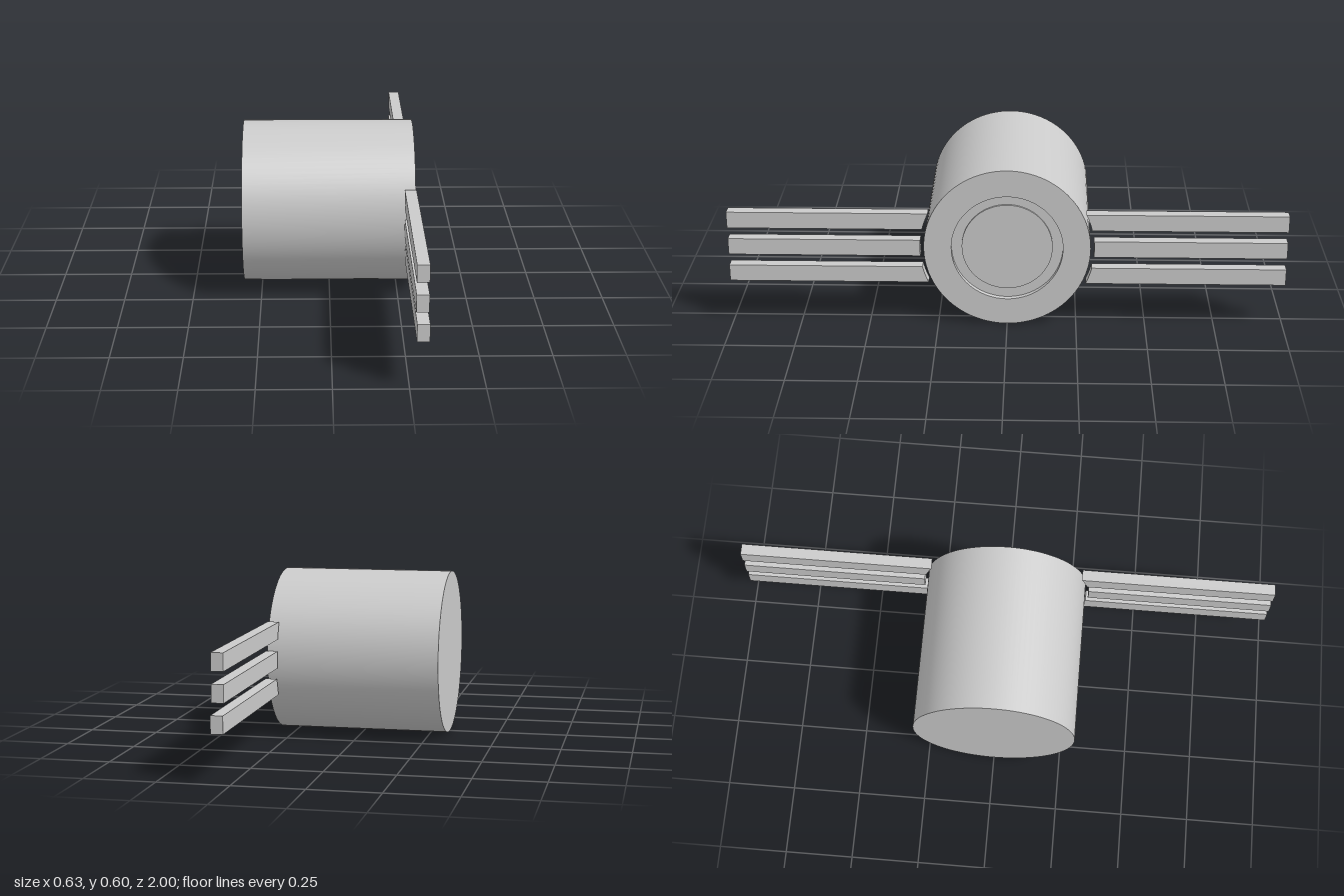
import * as THREE from 'three';
import { toCreasedNormals } from 'three/addons/utils/BufferGeometryUtils.js';

const CENTER_Y = 0.299;
const BODY_R = 0.299;
const GAP_R = 0.312; // bars are trimmed to this radius around the body axis

export function createModel() {
  const group = new THREE.Group();
  const grey = new THREE.MeshStandardMaterial({ color: 0xcccccc });

  function add(geometry, name) {
    const mesh = new THREE.Mesh(geometry, grey);
    mesh.name = name;
    group.add(mesh);
  }

  // Drum body along x, with a stepped recess in its +x face
  const profile = [
    [0, -0.315], [BODY_R, -0.315], [BODY_R, 0.307], [0.2, 0.307],
    [0.2, 0.287], [0.163, 0.287], [0.163, 0.294], [0, 0.294],
  ].map(([r, h]) => new THREE.Vector2(r, h));
  const body = toCreasedNormals(new THREE.LatheGeometry(profile, 96), 0.5);
  body.rotateZ(-Math.PI / 2).translate(0, CENTER_Y, 0);
  add(body, 'drumBody');

  // One bar: outer end square, inner end following the gap circle
  function barGeometry(side, y, xMax) {
    const half = 0.0305;
    const shape = new THREE.Shape();
    shape.moveTo(side, y - half);
    shape.lineTo(side, y + half);
    for (let i = 0; i <= 8; i++) {
      const py = y + half - (i / 8) * 2 * half;
      shape.lineTo(side * Math.sqrt(GAP_R ** 2 - (py - CENTER_Y) ** 2), py);
    }
    shape.closePath();
    const geometry = new THREE.ExtrudeGeometry(shape, { depth: 0.042, bevelEnabled: false });
    return geometry.rotateY(-Math.PI / 2).translate(xMax, 0, 0);
  }

  // Three bars on each side
  const bars = [
    ['upperBar', 0.402, 0.309],
    ['middleBar', 0.299, 0.309],
    ['lowerBar', 0.197, 0.313],
  ];
  for (const [side, label] of [[1, 'Front'], [-1, 'Back']]) {
    for (const [name, y, xMax] of bars) add(barGeometry(side, y, xMax), name + label);
  }

  return group;
}
